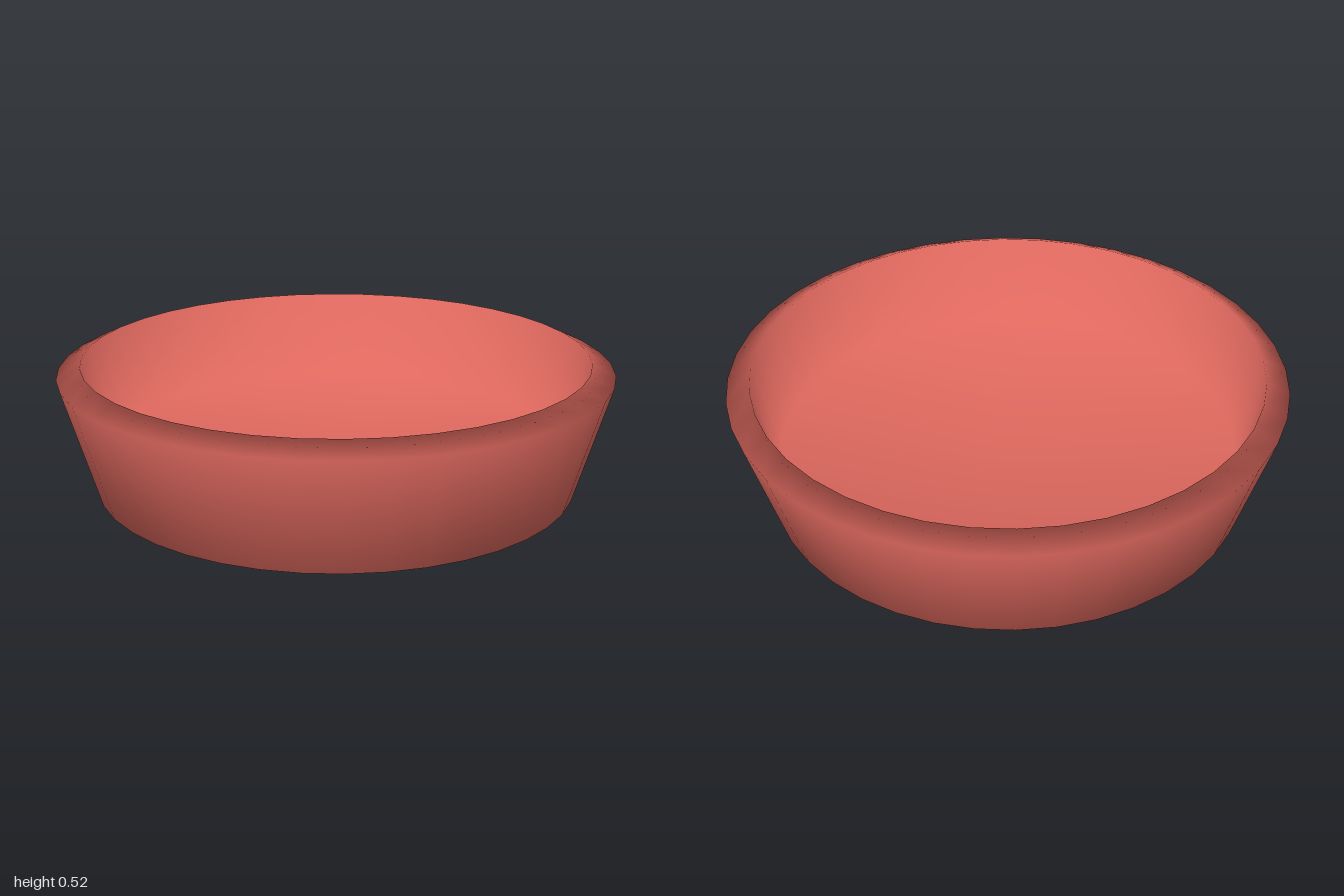
import * as THREE from 'three';

export function createModel() {
  const model = new THREE.Group();
  model.name = 'bowl';

  // One continuous shell: open foot, bevel, flared wall, rim, inner wall, floor
  const profile = [
    [0.685, 0], [0.87, 0.05], [1, 0.48], [0.915, 0.52], [0.83, 0.2], [0, 0.2],
  ].map(([r, y]) => new THREE.Vector2(r, y));

  const material = new THREE.MeshStandardMaterial({
    color: 0xe0695f,
    side: THREE.DoubleSide,
  });
  const shell = new THREE.Mesh(new THREE.LatheGeometry(profile, 40), material);
  shell.name = 'bowlShell';
  model.add(shell);

  return model;
}
